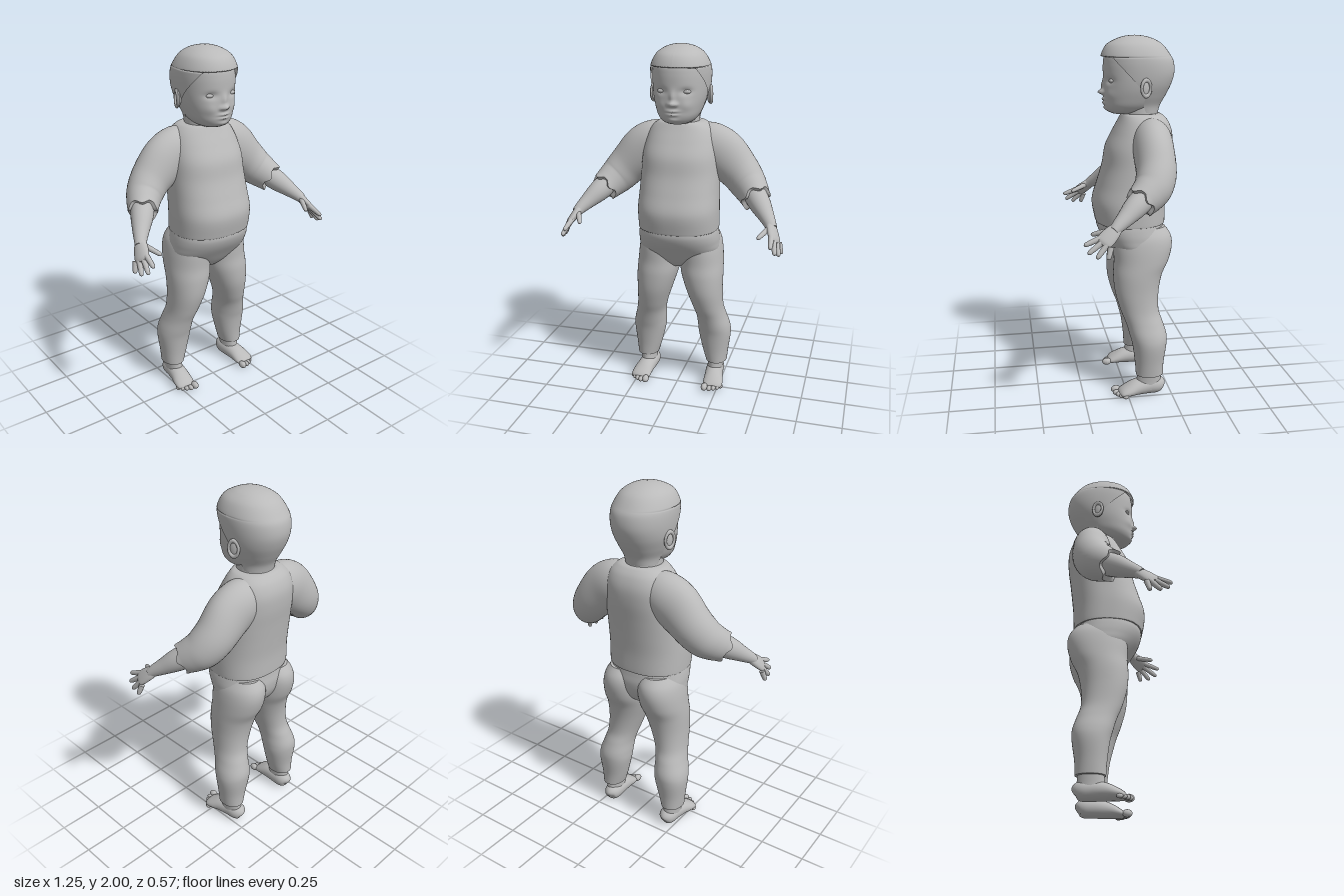
import * as THREE from 'three';

const TAU = Math.PI * 2;
const body = new THREE.MeshStandardMaterial({ color: 0xbababa, side: THREE.DoubleSide });
body.name = 'plain grey';

// Smooth (Catmull-Rom) resampling of rows of numbers
function resample(rows, steps) {
  const out = [], at = i => rows[Math.max(0, Math.min(rows.length - 1, i))];
  for (let i = 0; i < rows.length - 1; i++)
    for (let k = 0; k < steps; k++) {
      const t = k / steps;
      out.push(rows[i].map((b, c) => {
        const a = at(i - 1)[c], d = at(i + 1)[c], e = at(i + 2)[c];
        return b + 0.5 * t * (d - a + t * (2 * a - 5 * b + 4 * d - e + t * (3 * (b - d) + e - a)));
      }));
    }
  out.push(rows.at(-1));
  return out;
}

// Surface through rings of points; closed rings get crisp end caps
function skin(rings, closed = true) {
  if (closed) {
    const centre = r => r.map(() => r.reduce((s, p) => s.clone().add(p), new THREE.Vector3()).divideScalar(r.length));
    const a = rings[0], b = rings.at(-1);
    rings = [centre(a), a, ...rings, b, centre(b)];
  }
  const n = rings[0].length, index = [];
  for (let i = 0; i < rings.length - 1; i++)
    for (let j = 0; j < (closed ? n : n - 1); j++) {
      const a = i * n + j, b = i * n + (j + 1) % n;
      index.push(a, a + n, b, b, a + n, b + n);
    }
  const g = new THREE.BufferGeometry().setFromPoints(rings.flat());
  g.setIndex(index);
  g.computeVertexNormals();
  return g;
}

// Upright loft; rows are [y, xMin, xMax, zBack, zFront]; gap(y) opens the ring at the front
function loft(rows, { n = 48, steps = 6, power = 2, gap = null } = {}) {
  const e = v => Math.sign(v) * Math.abs(v) ** (2 / power);
  return skin(resample(rows, steps).map(([y, x0, x1, z0, z1]) => {
    const h = gap ? gap(y) : 0;
    return Array.from({ length: gap ? n + 1 : n }, (_, j) => {
      const a = Math.PI / 2 + h + (TAU - 2 * h) * j / n;
      return new THREE.Vector3((x0 + x1) / 2 + (x1 - x0) / 2 * e(Math.cos(a)), y,
        (z0 + z1) / 2 + (z1 - z0) / 2 * e(Math.sin(a)));
    });
  }), !gap);
}

// Limb along a path; rows are [x, y, z, sideRadius, otherRadius]
function limb(rows, { n = 24, steps = 5, side = null, ragged = 0 } = {}) {
  const path = resample(rows, steps), P = path.map(r => new THREE.Vector3(r[0], r[1], r[2]));
  return skin(path.map((r, i) => {
    const T = P[Math.min(i + 1, P.length - 1)].clone().sub(P[Math.max(i - 1, 0)]).normalize();
    const U = side ? side.clone().addScaledVector(T, -side.dot(T)) : new THREE.Vector3(-T.z, 0, T.x);
    U.normalize();
    const V = U.clone().cross(T), last = i === path.length - 1;
    return Array.from({ length: n }, (_, j) => {
      const a = TAU * j / n;
      return P[i].clone().addScaledVector(U, r[3] * Math.cos(a)).addScaledVector(V, r[4] * Math.sin(a))
        .addScaledVector(T, last ? ragged * Math.sin(a * 5) : 0);
    });
  }));
}

function ball(x, y, z, sx, sy, sz) {
  return new THREE.SphereGeometry(1, 20, 14).scale(sx, sy, sz).translate(x, y, z);
}

function mirrored(g) {
  const m = g.clone().scale(-1, 1, 1), ix = m.index.array;
  for (let i = 0; i < ix.length; i += 3) [ix[i], ix[i + 1]] = [ix[i + 1], ix[i]];
  m.computeVertexNormals();
  return m;
}

export function createModel() {
  const model = new THREE.Group();
  model.name = 'toddler';
  const add = (name, g) => {
    const mesh = new THREE.Mesh(g, body);
    mesh.name = name;
    model.add(mesh);
  };
  const pair = (name, g) => {
    add('left' + name, g);
    add('right' + name, mirrored(g));
  };
  const even = rows => rows.map(([y, x, zb, zf]) => [y, -x, x, zb, zf]);

  // Head, with the face shaped by soft bumps [x, y, height, width, tallness]
  const head = loft(even([
    [1.585, .06, -.1, .05], [1.60, .088, -.15, .08], [1.63, .112, -.19, .096], [1.67, .128, -.22, .098],
    [1.72, .142, -.25, .1], [1.78, .15, -.27, .1], [1.85, .151, -.272, .1], [1.9, .142, -.25, .09],
    [1.95, .11, -.2, .05], [1.98, .05, -.13, -.02]]), { n: 120, steps: 8, power: 2.15 });
  const bumps = [
    [0, 1.7, .03, .02, .013], [0, 1.735, .012, .014, .03], [.068, 1.765, -.014, .03, .017],
    [-.068, 1.765, -.014, .03, .017], [0, 1.662, .012, .03, .008], [0, 1.643, .011, .026, .007],
    [0, 1.652, -.005, .035, .003], [.075, 1.69, .008, .03, .03], [-.075, 1.69, .008, .03, .03],
    [0, 1.612, .008, .03, .012], [.022, 1.697, .008, .009, .008], [-.022, 1.697, .008, .009, .008]];
  const p = head.attributes.position;
  for (let i = 0; i < p.count; i++) {
    if (p.getZ(i) <= 0) continue;
    let z = p.getZ(i);
    for (const [x, y, h, w, t] of bumps)
      z += h * Math.exp(-(((p.getX(i) - x) / w) ** 2) - ((p.getY(i) - y) / t) ** 2);
    p.setZ(i, z);
  }
  head.computeVertexNormals();
  add('head', head);
  pair('Eye', ball(.068, 1.764, .066, .024, .012, .014));
  add('neck', loft(even([[1.48, .11, -.22, -.01], [1.58, .1, -.2, 0], [1.68, .1, -.2, 0]])));

  // Cropped hair with a straight fringe and swept-back sides
  add('hair', loft(even([
    [1.59, .098, -.2, .0], [1.63, .11, -.212, .06], [1.68, .132, -.24, .09], [1.74, .152, -.27, .1],
    [1.8, .161, -.287, .105], [1.86, .163, -.283, .112], [1.9, .156, -.262, .11], [1.95, .128, -.222, .082],
    [1.98, .088, -.172, .03], [1.995, .045, -.12, -.02], [2.0, .002, -.072, -.068]]),
  { n: 72, steps: 8, power: 2.15, gap: y => y > 1.888 ? 0 : Math.min(1.75, .75 + (1.888 - y) * 5) }));

  // Ears
  pair('Ear', ball(0, 0, 0, .012, .045, .028).rotateY(.35).translate(.153, 1.728, -.1));
  pair('EarRim', new THREE.TorusGeometry(.032, .009, 10, 28).scale(.85, 1.3, 1)
    .rotateY(Math.PI / 2 + .35).translate(.161, 1.73, -.105));

  // Long-sleeved shirt
  add('shirt', loft(even([
    [.985, .226, -.236, .146], [1.0, .228, -.238, .152], [1.1, .229, -.24, .166], [1.2, .224, -.25, .138],
    [1.3, .22, -.262, .108], [1.4, .214, -.275, .09], [1.48, .2, -.275, .052], [1.54, .175, -.255, .02],
    [1.575, .14, -.225, .002], [1.585, .11, -.205, -.005]]), { n: 64, power: 2.35 }));
  pair('Sleeve', limb([
    [.07, 1.47, -.145, .09, .1], [.15, 1.445, -.14, .107, .13], [.23, 1.395, -.135, .108, .138],
    [.32, 1.31, -.13, .106, .118], [.375, 1.25, -.105, .1, .108], [.41, 1.215, -.068, .09, .098],
    [.44, 1.185, -.025, .08, .086]], { n: 40, ragged: .014 }));

  // Forearm, palm and fingers
  pair('Forearm', limb([
    [.41, 1.22, -.07, .064, .064], [.465, 1.168, .005, .06, .06], [.51, 1.122, .065, .045, .044],
    [.54, 1.09, .108, .034, .033], [.553, 1.073, .13, .03, .026]]));
  const across = new THREE.Vector3(.55, -.55, -.62);
  pair('Palm', limb([
    [.538, 1.092, .104, .026, .026], [.553, 1.07, .13, .038, .024], [.568, 1.045, .16, .044, .021],
    [.58, 1.025, .183, .042, .016], [.586, 1.016, .194, .03, .007]], { side: across }));
  const fingers = {
    IndexFinger: [[.56, 1.045, .19], [.57, 1.01, .28]],
    MiddleFinger: [[.573, 1.028, .185], [.592, .972, .264]],
    RingFinger: [[.588, 1.012, .17], [.608, .952, .222]],
    LittleFinger: [[.598, 1.005, .15], [.615, .946, .166]],
    Thumb: [[.545, 1.078, .13], [.494, 1.042, .236]],
  };
  for (const [name, [a, b]] of Object.entries(fingers)) {
    const rows = [[0, .016], [.35, .0145], [.7, .013], [.93, .01], [1, .002]]
      .map(([t, r]) => [...a.map((v, i) => v + (b[i] - v) * t), r, r]);
    pair(name, limb(rows, { n: 14, steps: 4 }));
  }

  // Trousers: hips plus two legs
  add('trouserHips', loft(even([
    [.75, .05, -.13, 0], [.79, .15, -.19, .04], [.85, .225, -.225, .082], [.91, .232, -.236, .122],
    [.96, .228, -.232, .142], [1.0, .22, -.228, .142]]), { n: 64, power: 2.25 }));
  pair('TrouserLeg', loft([
    [.125, .152, .277, -.203, -.048], [.2, .13, .285, -.207, -.043], [.3, .107, .297, -.222, -.03],
    [.36, .102, .292, -.223, -.015], [.43, .098, .272, -.203, .005], [.5, .08, .258, -.182, .032],
    [.6, .046, .254, -.184, .06], [.7, .014, .254, -.205, .068], [.78, .0, .25, -.243, .063],
    [.86, -.003, .242, -.263, .065], [.92, .0, .228, -.257, .06], [.97, .02, .2, -.225, .03]], { power: 2.1 }));

  // Bare feet, turned slightly outward
  pair('Ankle', loft([
    [.04, .16, .258, -.197, -.03], [.08, .165, .256, -.193, -.05], [.15, .165, .26, -.19, -.06]], { n: 32 }));
  pair('Foot', limb([
    [.2, .042, -.207, .012, .014], [.202, .047, -.197, .036, .038], [.205, .052, -.165, .05, .051],
    [.208, .052, -.11, .052, .051], [.215, .046, -.05, .054, .045], [.222, .034, 0, .058, .033],
    [.224, .024, .035, .054, .022], [.225, .02, .05, .035, .012]], { n: 32 }));
  [[.182, .068, .021], [.212, .068, .0155], [.235, .056, .0145], [.256, .041, .0135], [.273, .022, .0125]]
    .forEach(([x, z, r], i) => pair('Toe' + (i + 1), ball(x, r + .003, z - .004, r * .9, r, r * 1.35)));

  return model;
}
